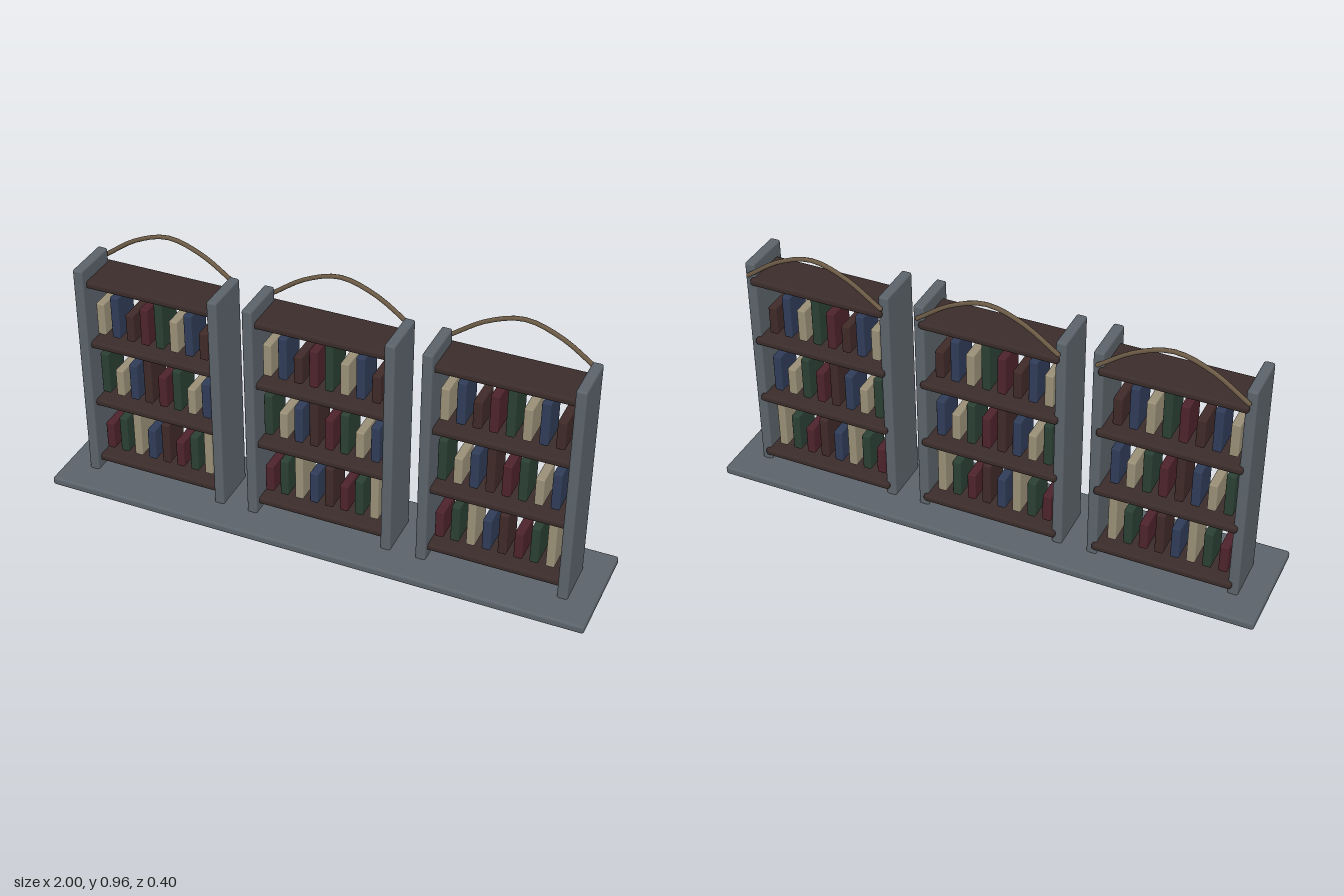
import * as THREE from 'three';
import { RoundedBoxGeometry } from 'three/addons/geometries/RoundedBoxGeometry.js';

const mat = (color) => new THREE.MeshStandardMaterial({ color });
const stone = mat(0x5b636a);
const wood = mat(0x3a2c2a);
const rope = mat(0x6b5a45);
// maroon, green, tan, navy, brown
const bookMats = [0x4e232c, 0x2b4034, 0x9a9078, 0x303c58, 0x402a28].map(mat);

// Rounded box resting on height y
function block(name, material, [w, h, d], [x, y, z], radius) {
  const mesh = new THREE.Mesh(new RoundedBoxGeometry(w, h, d, 2, radius), material);
  mesh.position.set(x, y + h / 2, z);
  mesh.name = name;
  return mesh;
}

// Bowed strip arching between the two uprights
function createArch() {
  const arch = new THREE.Group();
  arch.name = 'arch';
  const points = [[-0.25, 0.828], [-0.125, 0.913], [0, 0.951], [0.125, 0.913], [0.25, 0.828]]
    .map(([x, y]) => new THREE.Vector3(x, y, -0.103));
  const curve = new THREE.CatmullRomCurve3(points);
  const tube = new THREE.Mesh(new THREE.TubeGeometry(curve, 16, 0.008, 8), rope);
  tube.name = 'archRod';
  arch.add(tube);
  for (const p of [points[0], points[4]]) {
    const end = new THREE.Mesh(new THREE.SphereGeometry(0.008, 8, 6), rope);
    end.position.copy(p);
    end.name = 'archEnd';
    arch.add(end);
  }
  return arch;
}

// One row of eight books; heights and colours cycle in fives
function createBookRow(row, y) {
  const books = new THREE.Group();
  books.name = 'bookRow';
  for (let i = 0; i < 8; i++) {
    const height = 0.107 + 0.0188 * ((2 * i + 3 * row) % 5);
    const x = -0.208 + 0.0565 * i;
    books.add(block('book', bookMats[(i + row) % 5], [0.031, height, 0.11], [x, y, -0.02], 0.005));
  }
  return books;
}

function createBookcase() {
  const bookcase = new THREE.Group();
  bookcase.name = 'bookcase';
  for (const side of [-1, 1]) {
    bookcase.add(block('upright', stone, [0.037, 0.84, 0.18], [side * 0.253, 0.025, 0], 0.008));
  }
  for (let row = 0; row < 4; row++) {
    const y = 0.056 + 0.243 * row;
    bookcase.add(block('shelf', wood, [0.5, 0.028, 0.172], [0, y, -0.019], 0.011));
    if (row < 3) bookcase.add(createBookRow(row, y + 0.046));
  }
  bookcase.add(createArch());
  return bookcase;
}

export function createModel() {
  const model = new THREE.Group();
  model.name = 'bookcaseRow';
  model.add(block('base', stone, [2, 0.032, 0.4], [0, 0, 0], 0.01));
  for (const x of [-0.635, 0, 0.635]) {
    const bookcase = createBookcase();
    bookcase.position.x = x;
    model.add(bookcase);
  }
  return model;
}
